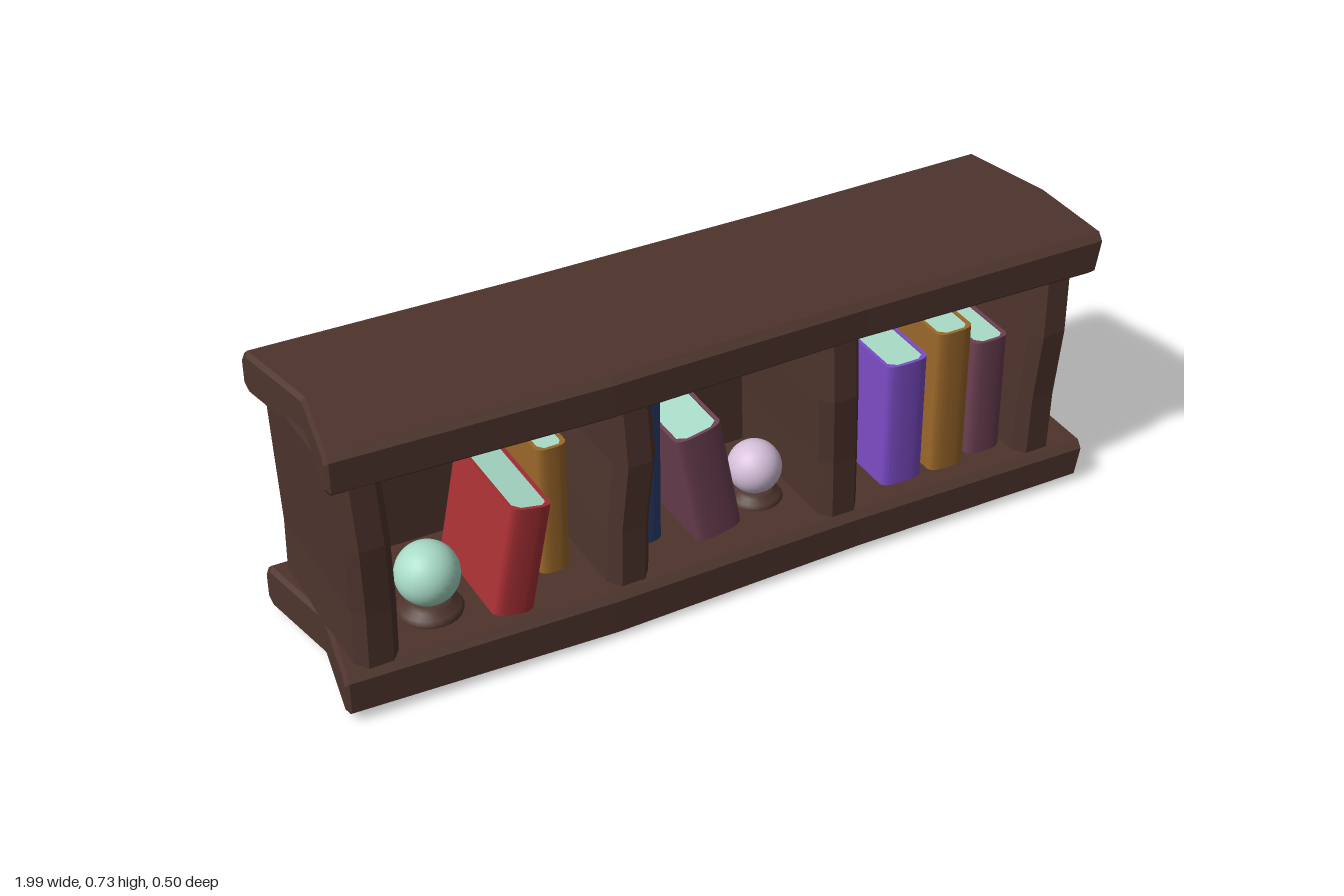
import * as THREE from 'three';

const mat = (name, color) => {
  const m = new THREE.MeshStandardMaterial({ color });
  m.name = name;
  return m;
};

// Chamfered rectangle, starting at the middle of the +q side and turning towards +p
const section = (p0, p1, q0, q1, cp, cq, mid = 0) => [
  [mid, q1], [p1 - cp, q1], [p1, q1 - cq], [p1, q0 + cq], [p1 - cp, q0],
  [mid, q0], [p0 + cp, q0], [p0, q0 + cq], [p0, q1 - cq], [p0 + cp, q1],
];

// Faceted skin over a row of rings, closed at both ends
function loft(rings) {
  const pos = [], n = rings[0].length;
  const tri = (a, b, c) => pos.push(...a, ...b, ...c);
  for (let i = 0; i < rings.length - 1; i++) {
    for (let j = 0; j < n; j++) {
      const k = (j + 1) % n;
      const a = rings[i][j], b = rings[i][k], c = rings[i + 1][k], d = rings[i + 1][j];
      tri(a, b, c);
      tri(a, c, d);
    }
  }
  const first = rings[0], last = rings[rings.length - 1];
  const centre = r => r[0].map((v, i) => (v + r[n / 2][i]) / 2);
  for (let j = 0; j < n; j++) {
    const k = (j + 1) % n;
    tri(centre(first), first[k], first[j]);
    tri(centre(last), last[j], last[k]);
  }
  const g = new THREE.BufferGeometry();
  g.setAttribute('position', new THREE.Float32BufferAttribute(pos, 3));
  g.computeVertexNormals();
  return g;
}

// Long warped board; stations are [x, bottom, top, back, front]
function plankGeometry(stations) {
  const endShift = (s, z) => {
    if (s === 0) return 0.045 * (1 - Math.min(1, Math.abs(z) / 0.24));
    return z < 0 ? 0.055 * z / 0.25 : 0;
  };
  const ring = (i, inset, dx) => {
    const [x, y0, y1, z0, z1] = stations[i];
    const pts = section(z0 + inset, z1 - inset, y0 + inset, y1 - inset, 0.018, 0.016);
    const end = i === 0 ? 0 : i === stations.length - 1 ? 1 : -1;
    return pts.map(([z, y]) => {
      const slant = end === 1 ? 0.02 * ((y - y1) / (y1 - y0)) : 0;
      return [x + dx + slant + (end < 0 ? 0 : endShift(end, z)), y, z];
    });
  };
  const last = stations.length - 1;
  return loft([
    ring(0, 0.01, 0), ring(0, 0, 0.01),
    ...stations.slice(1, last).map((_, i) => ring(i + 1, 0, 0)),
    ring(last, 0, -0.01), ring(last, 0.01, 0),
  ]);
}

// Slightly crooked upright; offsets shift x at four heights
function uprightGeometry(x, offsets) {
  const fronts = [0.22, 0.222, 0.235, 0.225], backs = [-0.235, -0.232, -0.228, -0.222];
  return loft(offsets.map((dx, i) => {
    const c = x + dx;
    return section(c - 0.054, c + 0.054, backs[i], fronts[i], 0.024, 0.03, c)
      .map(([px, pz]) => [px, 0.09 + i * 0.185, pz]);
  }));
}

// Upright extrusion of a plan outline, centred in height
function prism(shape, h) {
  const g = new THREE.ExtrudeGeometry(shape, { depth: h, bevelEnabled: false, curveSegments: 8 });
  g.translate(0, 0, -h / 2);
  g.rotateX(-Math.PI / 2);
  return g;
}

function book(name, w, h, d, cover, paper) {
  const t = 0.009, a = w / 2, b = d / 2, i = a - t;
  // Cover with a rounded spine facing the front
  const c = new THREE.Shape();
  c.moveTo(-a, b);
  c.lineTo(-a, -b + 0.022);
  c.bezierCurveTo(-a, -b + 0.004, -a * 0.6, -b, 0, -b);
  c.bezierCurveTo(a * 0.6, -b, a, -b + 0.004, a, -b + 0.022);
  c.lineTo(a, b);
  c.lineTo(i, b);
  c.lineTo(i, -b + 0.024);
  c.lineTo(i * 0.6, -b + t);
  c.lineTo(-i * 0.6, -b + t);
  c.lineTo(-i, -b + 0.024);
  c.lineTo(-i, b);
  c.closePath();
  // Page block
  const p = new THREE.Shape();
  p.moveTo(-i, b - 0.01);
  p.lineTo(-i, -b + 0.024);
  p.lineTo(-i * 0.6, -b + t);
  p.lineTo(i * 0.6, -b + t);
  p.lineTo(i, -b + 0.024);
  p.lineTo(i, b - 0.01);
  p.closePath();
  const g = new THREE.Group();
  g.name = name;
  const coverMesh = new THREE.Mesh(prism(c, h), cover);
  coverMesh.name = 'bookCover';
  const pages = new THREE.Mesh(prism(p, h - 0.008), paper);
  pages.name = 'bookPages';
  g.add(coverMesh, pages);
  return g;
}

export function createModel() {
  const model = new THREE.Group();
  model.name = 'bookshelf';
  const wood = mat('darkWood', 0x4e342d);
  const red = mat('redCover', 0xa83034);
  const gold = mat('ochreCover', 0x9c682a);
  const blue = mat('blueCover', 0x2c3f72);
  const plum = mat('plumCover', 0x6d4052);
  const violet = mat('violetCover', 0x7c4cc6);
  const mint = mat('mint', 0xa9dcc8);
  const pink = mat('palePink', 0xd6c0da);

  const add = (name, geometry, material) => {
    const m = new THREE.Mesh(geometry, material);
    m.name = name;
    model.add(m);
    return m;
  };

  // Top and bottom boards
  add('bottomPlank', plankGeometry([
    [-1, 0.016, 0.131, -0.25, 0.235], [-0.33, 0.002, 0.122, -0.245, 0.25],
    [0.33, 0.006, 0.117, -0.25, 0.24], [0.99, 0.01, 0.114, -0.252, 0.25],
  ]), wood);
  add('topPlank', plankGeometry([
    [-1, 0.618, 0.728, -0.25, 0.235], [-0.33, 0.608, 0.72, -0.245, 0.25],
    [0.33, 0.61, 0.713, -0.25, 0.24], [0.99, 0.606, 0.715, -0.252, 0.25],
  ]), wood);

  // Uprights
  [
    [-0.91, [0.005, 0.008, 0.0, -0.008]],
    [-0.265, [-0.008, -0.006, 0.006, -0.002]],
    [0.285, [0.012, 0.008, -0.004, -0.006]],
    [0.872, [-0.012, -0.008, 0.0, 0.008]],
  ].forEach(([x, offsets], i) => add('upright' + (i + 1), uprightGeometry(x, offsets), wood));

  // Back panel
  const back = add('backPanel', new THREE.BoxGeometry(1.8, 0.53, 0.026), wood);
  back.position.set(-0.02, 0.365, -0.185);

  // Books: name, colour, x, y, front z, width, height, lean, turn
  [
    ['redBook', red, -0.54, 0.27, 0.205, 0.105, 0.285, -0.19, 0],
    ['smallOchreBook', gold, -0.41, 0.3, 0.1, 0.078, 0.35, 0, 0],
    ['blueBook', blue, -0.18, 0.324, 0.104, 0.092, 0.412, 0, 0.04],
    ['leaningPlumBook', plum, -0.036, 0.284, 0.165, 0.122, 0.31, 0.19, 0],
    ['violetBook', violet, 0.497, 0.288, 0.177, 0.115, 0.345, 0, 0],
    ['ochreBook', gold, 0.627, 0.313, 0.178, 0.1, 0.395, 0, 0],
    ['plumBook', plum, 0.746, 0.278, 0.162, 0.098, 0.325, 0, 0],
  ].forEach(([name, cover, x, y, front, w, h, lean, turn]) => {
    const d = 0.3;
    const b = book(name, w, h, d, cover, mint);
    b.position.set(x, y, front - d / 2);
    b.rotation.set(0, turn, lean);
    model.add(b);
  });

  // Orbs on turned stands
  [['mintOrb', mint, -0.728, 0.229, 0.085, 0.077], ['pinkOrb', pink, 0.147, 0.204, 0.05, 0.067]]
    .forEach(([name, material, x, y, z, r]) => {
      add(name, new THREE.SphereGeometry(r, 28, 20), material).position.set(x, y, z);
      const profile = [[0, -0.1], [0.07, -0.1], [0.073, -0.088], [0.066, -0.078], [0.05, -0.07],
        [0.046, -0.058], [0, -0.055]].map(([a, b]) => new THREE.Vector2(a * r / 0.07, b * r / 0.07));
      add(name + 'Stand', new THREE.LatheGeometry(profile, 24), wood).position.set(x, y, z);
    });

  return model;
}
